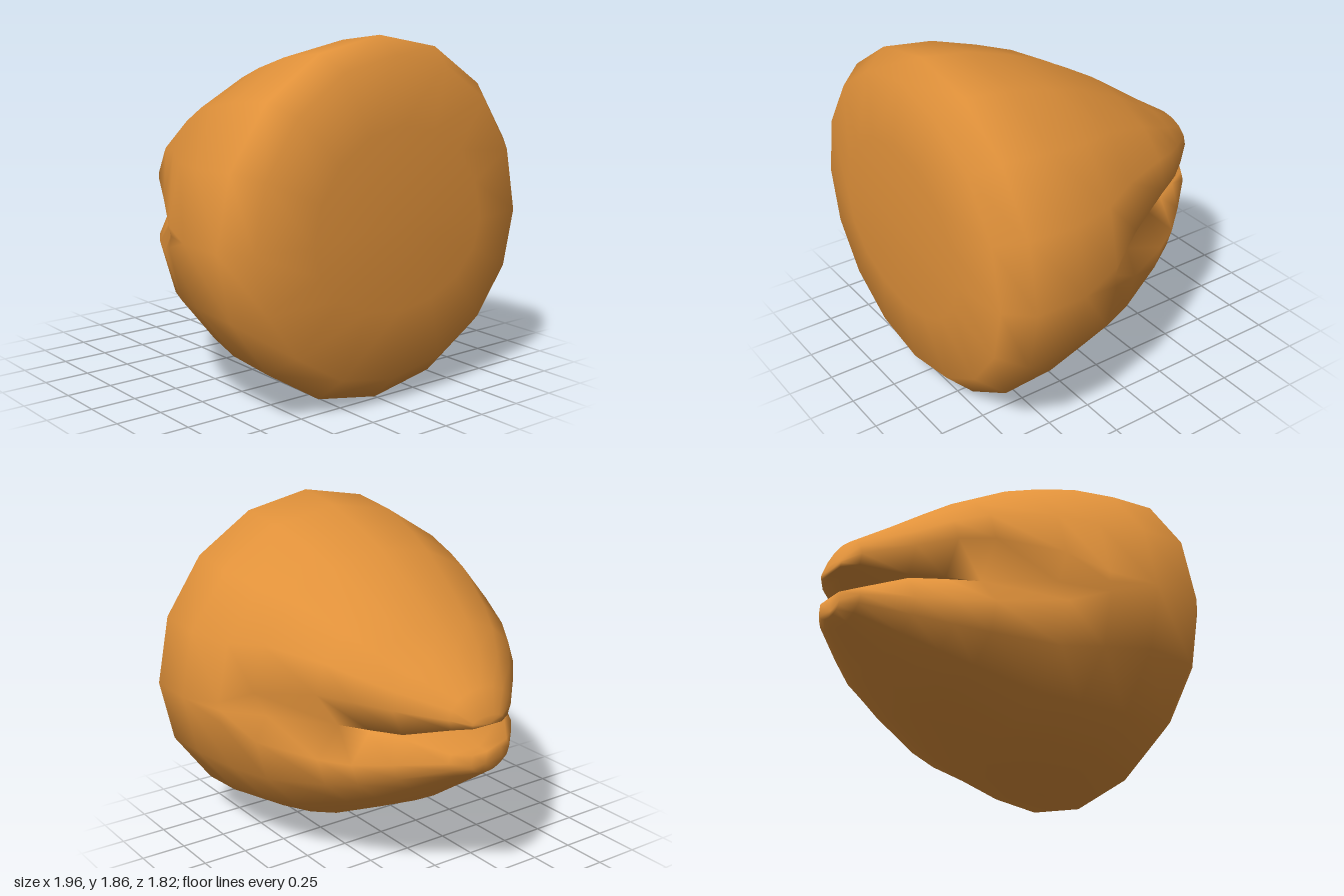
import * as THREE from 'three';
import { mergeVertices } from 'three/addons/utils/BufferGeometryUtils.js';

const MOUTH_Y = 0.88; // height of the mouth line
const ARC = 8; // arc segments per jaw

// Cross-sections from the flat front to the snout tip:
// z, half width, top, bottom, upper cheek y, lower cheek y, lip x, slit depth x, half gap
const SECTIONS = [
  [0.91, 0.55, 1.43, 0.50, 0.90, 0.90, 0.55, 0.55, 0],
  [0.86, 0.86, 1.77, 0.13, 0.90, 0.90, 0.86, 0.86, 0],
  [0.73, 0.98, 1.86, 0.00, 0.90, 0.90, 0.98, 0.98, 0],
  [0.45, 0.98, 1.82, 0.03, 0.90, 0.90, 0.98, 0.98, 0],
  [0.20, 0.90, 1.74, 0.09, 0.93, 0.82, 0.89, 0.89, 0],
  [0.00, 0.80, 1.66, 0.16, 1.02, 0.75, 0.73, 0.73, 0],
  [-0.32, 0.63, 1.48, 0.32, 1.07, 0.72, 0.50, 0.48, 0],
  [-0.48, 0.53, 1.37, 0.41, 1.06, 0.72, 0.42, 0.20, 0.005],
  [-0.64, 0.39, 1.26, 0.52, 1.03, 0.74, 0.33, 0.0, 0.01],
  [-0.84, 0.20, 1.13, 0.66, 1.00, 0.77, 0.18, 0.0, 0.065],
  [-0.90, 0.10, 1.00, 0.70, 0.97, 0.76, 0.09, 0.0, 0.07],
];

// One jaw's outline in a section, counter-clockwise as seen from the front
function jawRing([z, w, top, bottom, cheekU, cheekL, lipX, slitX, gap], upper) {
  const s = upper ? 1 : -1;
  const cheek = upper ? cheekU : cheekL;
  const height = upper ? top - cheek : cheek - bottom;
  const lipY = MOUTH_Y + s * gap;
  const flat = lipX === w; // no groove in this section
  const y0 = flat ? cheek : lipY;
  const ring = [[s * slitX, y0, z], [s * lipX, y0, z]];
  for (let i = 0; i <= ARC; i++) {
    const a = (i / ARC) * Math.PI;
    ring.push([s * w * Math.cos(a), cheek + s * height * Math.sin(a), z]);
  }
  ring.push([-s * lipX, y0, z], [-s * slitX, y0, z]);
  return ring;
}

function buildHead() {
  const positions = [];
  const tri = (a, b, c) => positions.push(...a, ...b, ...c);
  for (const upper of [true, false]) {
    const rings = SECTIONS.map((section) => jawRing(section, upper));
    // skin between neighbouring sections
    for (let i = 0; i < rings.length - 1; i++) {
      for (let j = 0; j < rings[i].length - 1; j++) {
        const a = rings[i][j], b = rings[i][j + 1];
        const c = rings[i + 1][j], d = rings[i + 1][j + 1];
        tri(a, c, b);
        tri(b, c, d);
      }
    }
    // flat front and closed snout tip
    const first = rings[0], last = rings[rings.length - 1];
    const front = [0, 0.95, 0.91];
    const tip = upper ? [0, 0.96, -0.91] : [0, 0.74, -0.89];
    for (let j = 0; j < first.length - 1; j++) {
      tri(front, first[j], first[j + 1]);
      tri(tip, last[j + 1], last[j]);
    }
  }
  const geometry = new THREE.BufferGeometry();
  geometry.setAttribute('position', new THREE.Float32BufferAttribute(positions, 3));
  const welded = mergeVertices(geometry, 1e-4);
  welded.computeVertexNormals();
  return welded;
}

export function createModel() {
  const group = new THREE.Group();
  group.name = 'beakedCone';
  const orange = new THREE.MeshStandardMaterial({ color: 0xe0913a, side: THREE.DoubleSide });
  orange.name = 'orange';
  const head = new THREE.Mesh(buildHead(), orange);
  head.name = 'coneWithMouth';
  group.add(head);
  return group;
}
